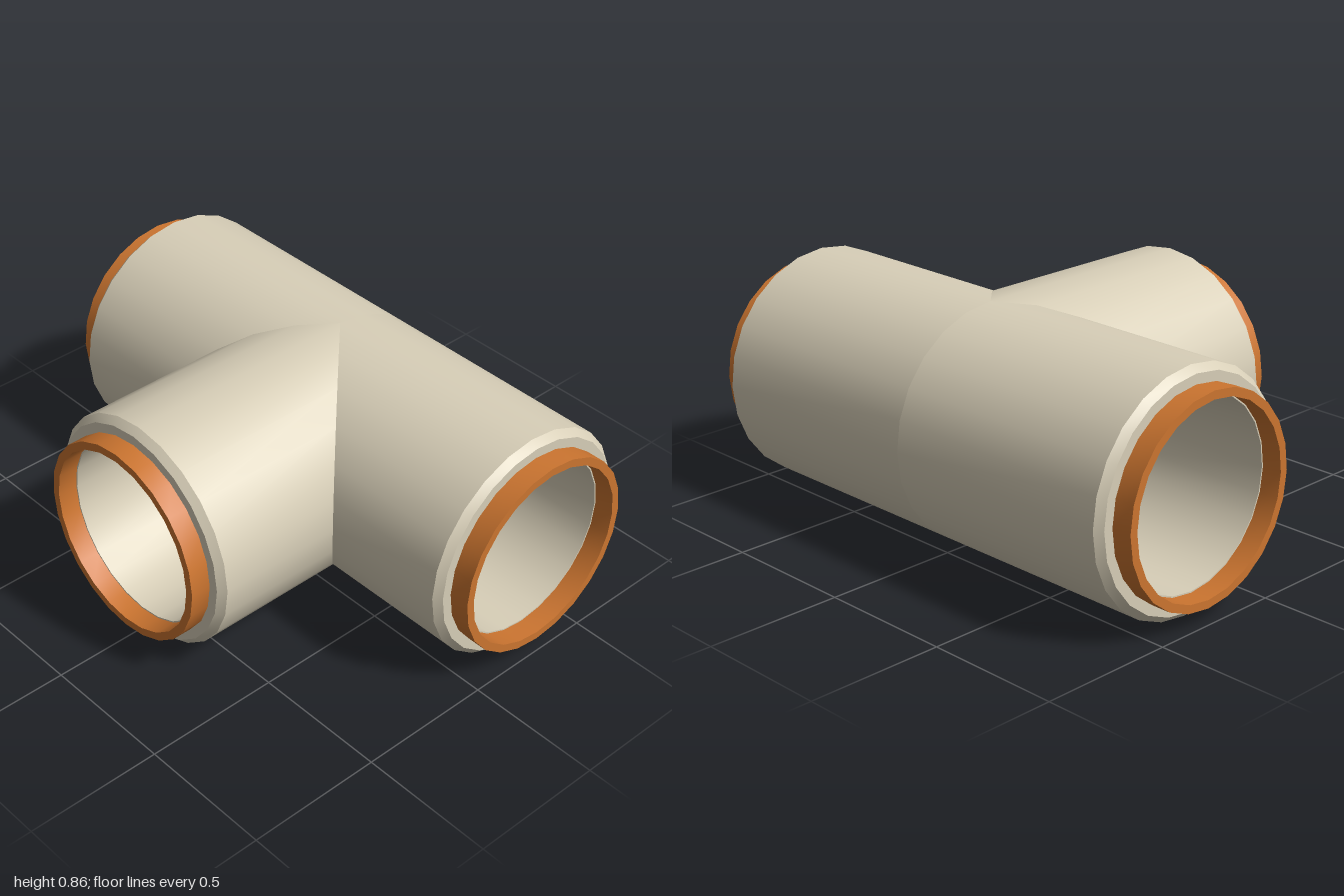
import * as THREE from 'three';
import { mergeGeometries } from 'three/addons/utils/BufferGeometryUtils.js';

const SIDES = 24;

// One band of facets between two profile points, smooth around the axis.
// A point is [radius, z], where z may be a function of the local x (a mitred edge).
function band(p, q) {
  const pos = [], index = [];
  for (const [r, z] of [p, q]) {
    for (let i = 0; i < SIDES; i++) {
      const a = (i / SIDES) * Math.PI * 2;
      const x = r * Math.cos(a);
      pos.push(x, r * Math.sin(a), typeof z === 'function' ? z(x) : z);
    }
  }
  for (let i = 0; i < SIDES; i++) {
    const j = (i + 1) % SIDES;
    index.push(i, j, SIDES + i, j, SIDES + j, SIDES + i);
  }
  const g = new THREE.BufferGeometry();
  g.setAttribute('position', new THREE.Float32BufferAttribute(pos, 3));
  g.setIndex(index);
  g.computeVertexNormals();
  return g;
}

// Sweeps a profile round z, with a sharp edge at every profile point
function sweep(profile) {
  return mergeGeometries(profile.slice(1).map((q, i) => band(profile[i], q)));
}

export function createModel() {
  const group = new THREE.Group();
  const shellMat = new THREE.MeshStandardMaterial({ color: 0xd8cfb8, side: THREE.DoubleSide });
  const ringMat = new THREE.MeshStandardMaterial({ color: 0xcc7530 });

  // Three arms of the tee, each cut to meet its neighbours at the mitre
  const arms = [
    ['frontArm', 0, (x) => Math.max(0, -x)],
    ['backArm', Math.PI, (x) => Math.max(0, x)],
    ['branchArm', -Math.PI / 2, (x) => Math.abs(x)],
  ];
  for (const [name, turn, mitre] of arms) {
    const arm = new THREE.Group();
    arm.name = name;
    arm.position.set(0.285, 0.43, 0);
    arm.rotation.y = turn;

    // Outer wall, chamfer, end face, socket, stop shoulder and bore
    const shell = new THREE.Mesh(sweep([
      [0.43, mitre], [0.43, 0.9], [0.406, 0.925], [0.335, 0.925],
      [0.335, 0.42], [0.27, 0.42], [0.27, mitre],
    ]), shellMat);
    shell.name = 'pipeShell';

    // Coloured collar at the mouth
    const ring = new THREE.Mesh(sweep([
      [0.37, 0.92], [0.37, 1], [0.34, 1], [0.34, 0.92],
    ]), ringMat);
    ring.name = 'endRing';

    arm.add(shell, ring);
    group.add(arm);
  }
  return group;
}
